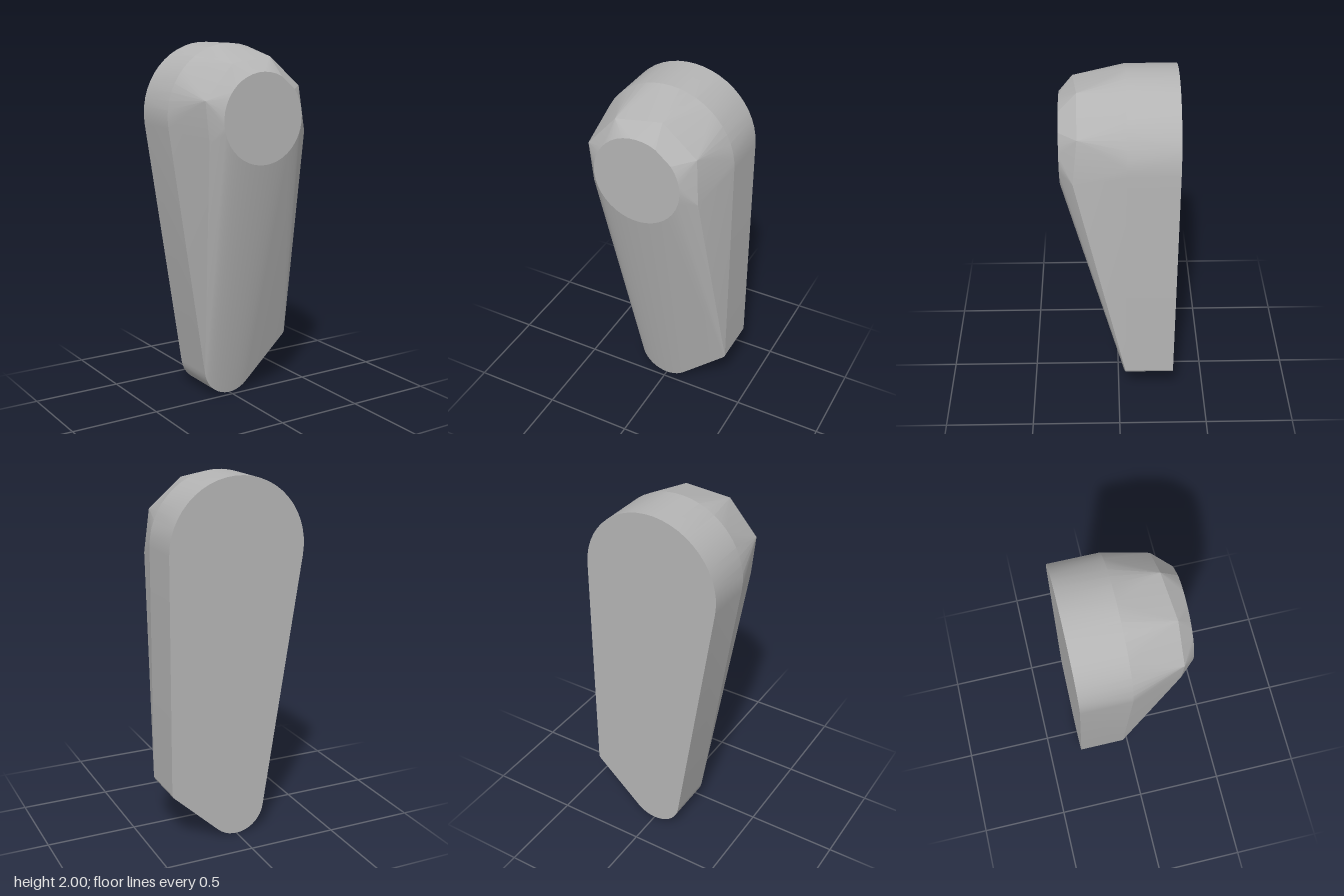
import * as THREE from 'three';
import { ConvexGeometry } from 'three/addons/geometries/ConvexGeometry.js';
import { toCreasedNormals } from 'three/addons/utils/BufferGeometryUtils.js';

// Points along a circular arc, angles in degrees
function arc(cx, cy, r, from, to, steps) {
  const points = [];
  for (let i = 0; i <= steps; i++) {
    const a = THREE.MathUtils.degToRad(from + ((to - from) * i) / steps);
    points.push([cx + r * Math.cos(a), cy + r * Math.sin(a)]);
  }
  return points;
}

export function createModel() {
  const group = new THREE.Group();
  group.name = 'climbingHold';
  const grey = new THREE.MeshStandardMaterial({ color: 0xb4b4b4 });
  grey.name = 'grey';

  // Teardrop outline: round top, straight left flank, small round toe, right corner
  const outline = [
    ...arc(0, 1.615, 0.385, 0, 188.5, 26),
    ...arc(0, 0.165, 0.165, 188.5, 313, 14),
    [0.379, 0.292], [0.385, 0.306],
  ];
  const points = [];
  for (const [x, y] of outline) {
    points.push(new THREE.Vector3(x, y, -0.305), new THREE.Vector3(x, y, -0.035));
  }

  // Flat round nose, with one straight chord at its upper right
  for (const [x, y] of arc(0, 1.618, 0.244, 63, 397, 38)) {
    points.push(new THREE.Vector3(x, y, 0.305));
  }

  // Shoulder corners between the nose and the rounded top
  const shoulder = [
    [-0.313, 1.72, 0.235], [-0.15, 1.905, 0.235], [0.1, 1.935, 0.21],
    [0.29, 1.775, 0.21], [0.313, 1.53, 0.235], [-0.29, 1.5, 0.235],
  ];
  for (const p of shoulder) points.push(new THREE.Vector3(...p));

  const geometry = toCreasedNormals(new ConvexGeometry(points), 0.22);
  const body = new THREE.Mesh(geometry, grey);
  body.name = 'body';
  group.add(body);
  return group;
}
